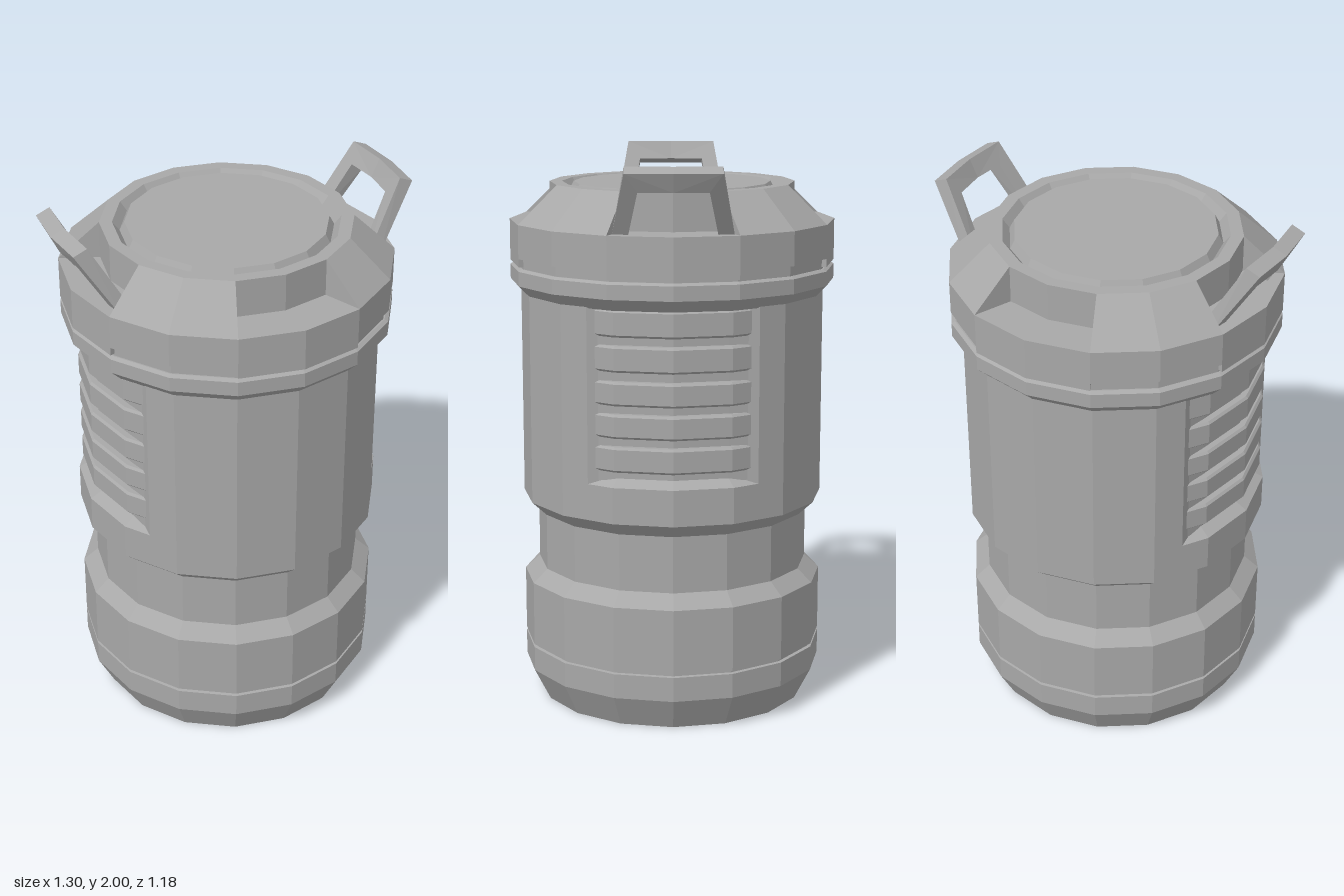
import * as THREE from 'three';

const SIDES = 16;
const STEP = (Math.PI * 2) / SIDES;

export function createModel() {
  const model = new THREE.Group();
  model.name = 'canister';
  const grey = new THREE.MeshStandardMaterial({ color: 0xa8a8a8, side: THREE.DoubleSide });
  grey.name = 'grey metal';

  // Adds a faceted mesh
  function add(name, geometry, parent = model) {
    const flat = geometry.index ? geometry.toNonIndexed() : geometry;
    flat.computeVertexNormals();
    const mesh = new THREE.Mesh(flat, grey);
    mesh.name = name;
    parent.add(mesh);
    return mesh;
  }
  const vec = (pts) => pts.map(([a, b]) => new THREE.Vector2(a, b));
  const turned = (name, pts) => add(name, new THREE.LatheGeometry(vec(pts), SIDES));

  // Part of a turned ring, two facets wide, with closed ends
  function sector(name, pts, start) {
    const group = new THREE.Group();
    group.name = name;
    model.add(group);
    const loop = vec([...pts, pts[0]]);
    add(name + 'Shell', new THREE.LatheGeometry(loop, 2, start, STEP * 2), group);
    for (const angle of [start, start + STEP * 2]) {
      const end = new THREE.ShapeGeometry(new THREE.Shape(vec(pts)));
      add(name + 'End', end.rotateY(angle - Math.PI / 2), group);
    }
  }

  // Plan outline (x, z) raised from y0 to y1, with an optional bevel
  function raised(name, pts, y0, y1, bevel = 0) {
    const geo = new THREE.ExtrudeGeometry(new THREE.Shape(vec(pts)), {
      depth: y1 - y0 - 2 * bevel, bevelEnabled: bevel > 0, bevelSegments: 1,
      bevelSize: bevel, bevelThickness: bevel, bevelOffset: -bevel,
    });
    return add(name, geo.rotateX(-Math.PI / 2).translate(0, y0 + bevel, 0));
  }

  // Foot, seam, waist and lower shoulder
  turned('base', [
    [0, 0], [0.49, 0], [0.55, 0.117], [0.55, 0.206], [0.537, 0.208], [0.537, 0.216],
    [0.55, 0.218], [0.55, 0.452], [0.496, 0.5], [0.496, 0.705], [0.55, 0.755],
    [0.55, 0.885], [0.5, 0.912], [0, 0.912],
  ]);

  // Main barrel, cut flat on both sides behind the vents
  const half = [[-0.45, 0.298]];
  for (let k = -2; k <= 2; k++) half.push([0.55 * Math.sin(k * STEP), 0.55 * Math.cos(k * STEP)]);
  half.push([0.45, 0.298]);
  raised('barrel', [...half, ...half.map(([x, z]) => [-x, -z])], 0.885, 1.51);

  // Vent slats over a recessed core
  const slats = [[0.935, 1.025], [1.055, 1.14], [1.17, 1.255], [1.288, 1.38], [1.41, 1.505]];
  for (const s of [1, -1]) {
    const arc = (r, z) => [
      [0.43, -z], [0.45, -z], [r * Math.cos(STEP), -r * Math.sin(STEP)], [r, 0],
      [r * Math.cos(STEP), r * Math.sin(STEP)], [0.45, z], [0.43, z],
    ].map(([x, y]) => [x * s, y]);
    raised('ventCore', arc(0.505, 0.26), 0.9, 1.505);
    for (const [y0, y1] of slats) raised('ventSlat', arc(0.535, 0.27), y0, y1, 0.008);
  }

  // Collar under the lid
  turned('collar', [[0, 1.505], [0.545, 1.505], [0.588, 1.548], [0.588, 1.6], [0.575, 1.608], [0, 1.608]]);

  // Lid rim with four lowered tabs
  turned('lidSeam', [[0.57, 1.6], [0.57, 1.66]]);
  turned('lidRim', [[0.56, 1.645], [0.588, 1.645], [0.588, 1.765], [0, 1.765]]);
  for (let i = 0; i < 4; i++) {
    const start = i * STEP * 4 - STEP;
    sector('lidTab', [[0.56, 1.616], [0.588, 1.616], [0.588, 1.645], [0.56, 1.645]], start);
    // Sloped blocks between the notches
    sector('lidBlock', [[0.43, 1.765], [0.588, 1.765], [0.442, 1.9], [0.43, 1.9]], start + STEP * 2);
  }

  // Raised top with a V groove around the disc
  turned('lidTop', [[0.442, 1.765], [0.442, 1.9], [0.397, 1.9], [0.372, 1.868], [0.355, 1.9], [0, 1.9]]);

  // Leaning handles: a half frame bent along the rim, mirrored front to back
  for (const s of [1, -1]) {
    const handle = new THREE.Group();
    handle.name = s > 0 ? 'leftHandle' : 'rightHandle';
    model.add(handle);
    for (const m of [1, -1]) {
      const outline = vec([[0, 2], [0.165, 2], [0.21, 1.75], [0.155, 1.75], [0.12, 1.935], [0, 1.935]]);
      const geo = new THREE.ExtrudeGeometry(new THREE.Shape(outline), { depth: 0.05, bevelEnabled: false });
      const p = geo.attributes.position;
      for (let i = 0; i < p.count; i++) {
        const z = p.getX(i), y = p.getY(i), t = p.getZ(i);
        const bend = z * (0.08 + (2 - y) * 0.4);
        const x = 0.6 + t - (2 - y) * 0.47 - bend;
        p.setXYZ(i, x, y - t * 0.4 * (y > 1.8 ? 1 : 0), z);
      }
      add('handleHalf', geo, handle).scale.set(s, 1, m);
    }
  }
  return model;
}
